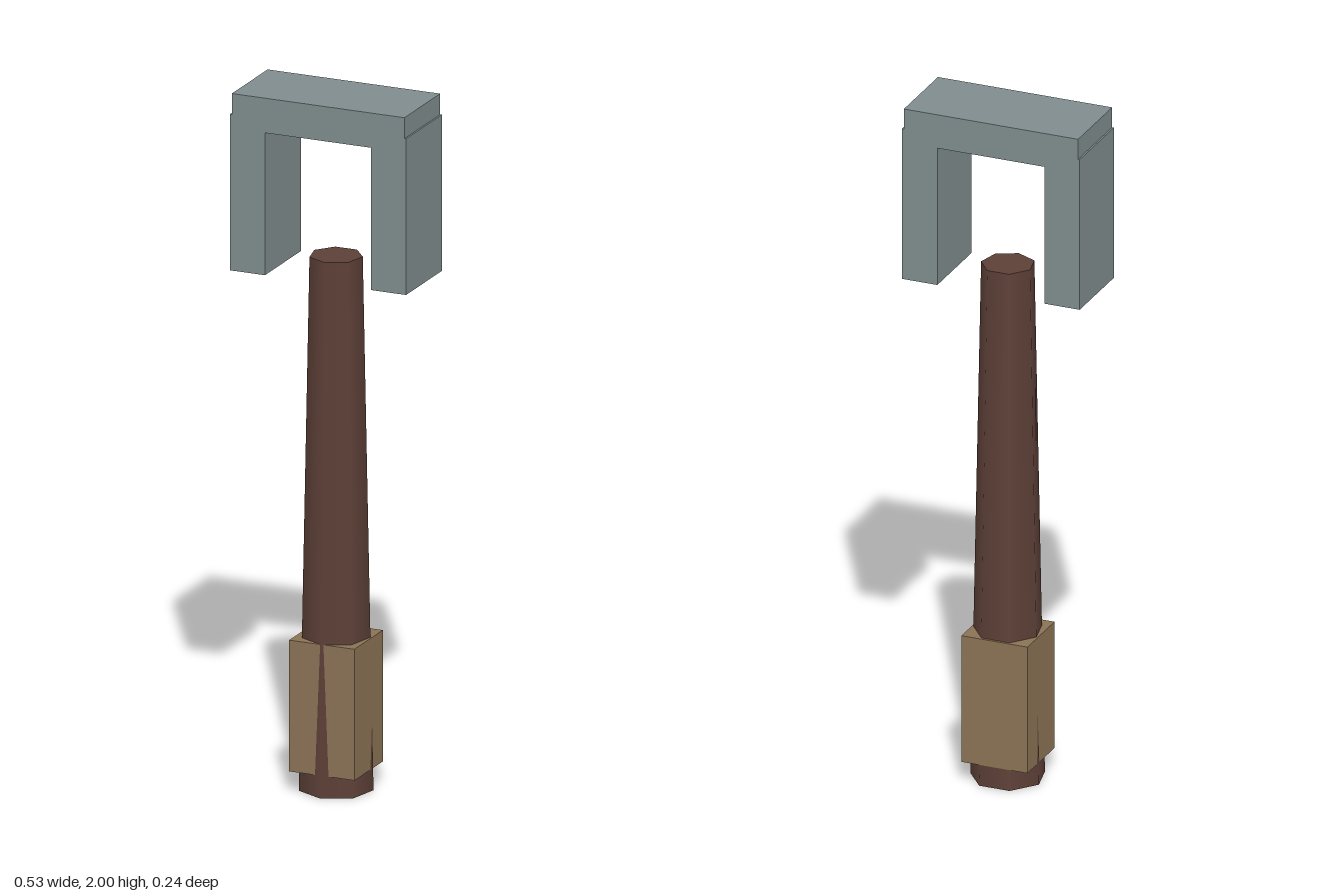
import * as THREE from 'three';

const material = (color) => new THREE.MeshStandardMaterial({ color });

export function createModel() {
  const model = new THREE.Group();
  model.name = 'hammer';
  const steel = material(0x7f8c8d);
  const wood = material(0x5d4037);
  const leather = material(0x8b7355);

  const add = (name, geometry, mat, x, y, z = 0) => {
    const mesh = new THREE.Mesh(geometry, mat);
    mesh.name = name;
    mesh.position.set(x, y, z);
    model.add(mesh);
  };

  // Tapered seven-sided shaft, a corner facing the front
  add('handle', new THREE.CylinderGeometry(0.075, 0.105, 1.535, 7), wood, 0, 0.7675);

  // Square grip, with the shaft's corners just breaking through
  add('grip', new THREE.BoxGeometry(0.197, 0.378, 0.188), leather, 0, 0.251);

  // Head: a crossbar with a slightly wider block hanging at each end
  add('headBar', new THREE.BoxGeometry(0.52, 0.1, 0.236), steel, 0, 1.95);
  for (const [name, side] of [['leftHeadBlock', 1], ['rightHeadBlock', -1]]) {
    add(name, new THREE.BoxGeometry(0.105, 0.45, 0.236), steel, side * 0.2125, 1.715);
  }

  return model;
}
